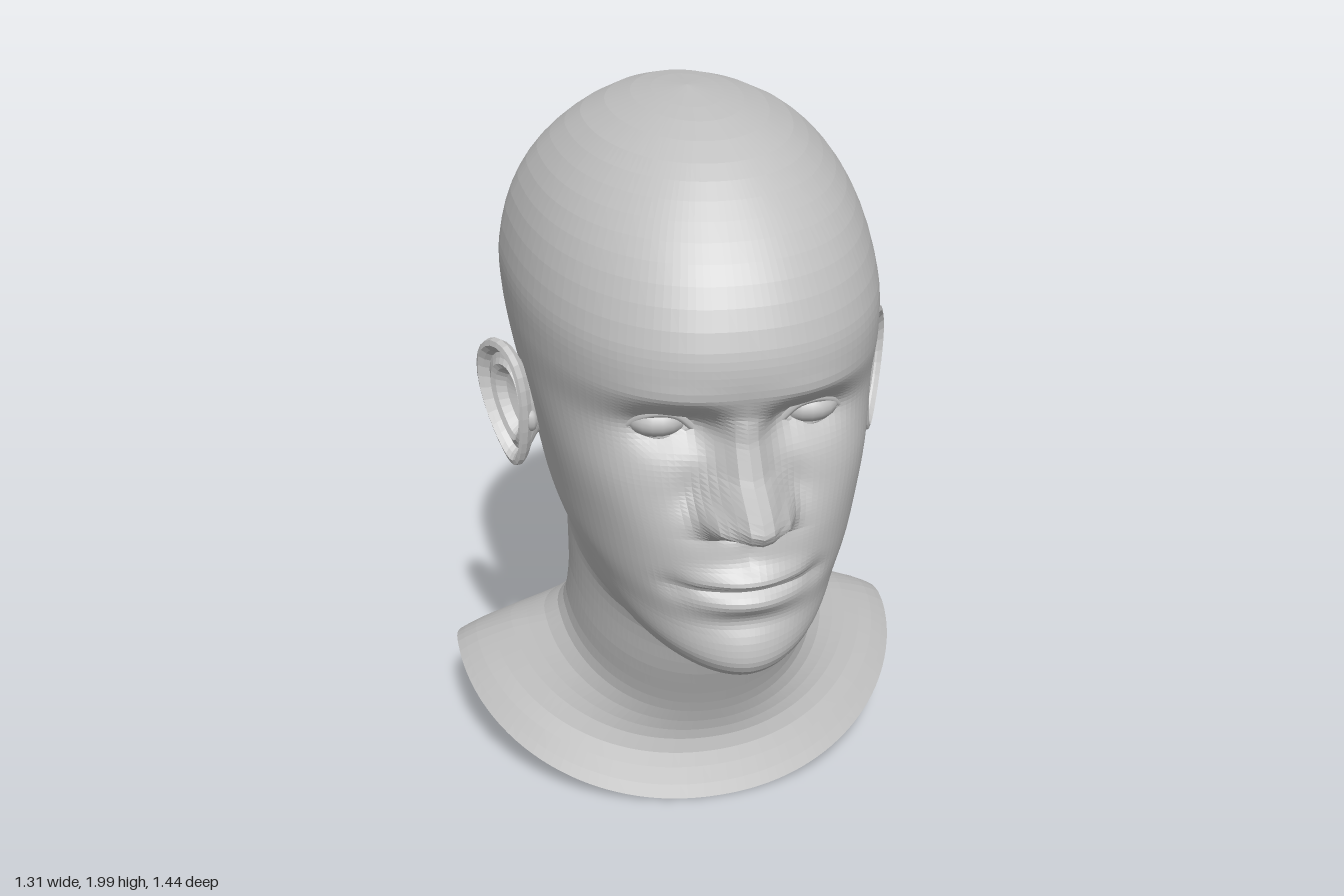
import * as THREE from 'three';

const skin = new THREE.MeshStandardMaterial({ color: 0xc0c0c0, side: THREE.DoubleSide });
skin.name = 'plain grey';

// Horizontal sections of the skull and face:
// [y, front z, back z, half width, z of widest point, front squareness]
const skull = [
  [2.0, -0.14, -0.14, 0, -0.14, 2],
  [1.975, 0.09, -0.36, 0.14, -0.15, 2],
  [1.92, 0.245, -0.49, 0.265, -0.18, 2.1],
  [1.82, 0.37, -0.605, 0.375, -0.22, 2.2],
  [1.70, 0.478, -0.675, 0.445, -0.25, 2.25],
  [1.56, 0.544, -0.718, 0.48, -0.26, 2.35],
  [1.44, 0.55, -0.715, 0.48, -0.25, 2.4],
  [1.32, 0.505, -0.685, 0.465, -0.21, 2.45],
  [1.18, 0.52, -0.635, 0.437, -0.16, 2.55],
  [1.05, 0.565, -0.56, 0.413, -0.13, 2.4],
];
// Tilted sections of jaw, neck and shoulders: [front y, front z, back y, back z,
// side y, half width, z of widest point, front squareness, back squareness]
const neck = [
  [0.93, 0.58, 0.98, -0.505, 0.96, 0.395, -0.11, 2.25, 2],
  [0.82, 0.592, 0.91, -0.47, 0.90, 0.375, -0.1, 2.05, 2],
  [0.72, 0.605, 0.85, -0.457, 0.86, 0.357, -0.1, 1.9, 2],
  [0.66, 0.54, 0.81, -0.45, 0.83, 0.35, -0.11, 1.85, 2],
  [0.63, 0.41, 0.77, -0.45, 0.80, 0.345, -0.12, 1.9, 2],
  [0.61, 0.29, 0.72, -0.45, 0.75, 0.343, -0.13, 2, 2],
  [0.45, 0.22, 0.58, -0.46, 0.58, 0.343, -0.15, 2.1, 2.1],
  [0.28, 0.15, 0.42, -0.50, 0.45, 0.37, -0.2, 2.1, 2.2],
  [0.17, 0.125, 0.28, -0.56, 0.37, 0.50, -0.29, 2.1, 2.4],
  [0.09, 0.15, 0.18, -0.61, 0.31, 0.60, -0.34, 2.1, 2.6],
  [0.01, 0.19, 0.11, -0.64, 0.27, 0.655, -0.36, 2.1, 2.8],
];
const keys = skull.map(([y, f, b, w, c, n]) => [y, f, y, b, y, w, c, n, 2]).concat(neck);
// Rows between one section and the next, finest over the face
const steps = [3, 2, 3, 3, 3, 6, 11, 11, 14, 12, 10, 6, 4, 4, 3, 4, 4, 3, 2, 2];

// Flat-faceted skin over a grid of points whose columns close into a loop
function gridMesh(name, rows, cols, point, flip) {
  const pos = [];
  const P = [];
  for (let i = 0; i < rows; i++) {
    P.push([]);
    for (let j = 0; j < cols; j++) P[i].push(point(i, j));
  }
  const tri = (a, b, c) => {
    const area = b.clone().sub(a).cross(c.clone().sub(a)).length();
    if (area < 1e-9) return;
    for (const p of flip ? [a, c, b] : [a, b, c]) pos.push(p.x, p.y, p.z);
  };
  for (let i = 0; i < rows - 1; i++) {
    for (let j = 0; j < cols; j++) {
      const k = (j + 1) % cols;
      tri(P[i][j], P[i + 1][j], P[i + 1][k]);
      tri(P[i][j], P[i + 1][k], P[i][k]);
    }
  }
  const g = new THREE.BufferGeometry();
  g.setAttribute('position', new THREE.Float32BufferAttribute(pos, 3));
  g.computeVertexNormals();
  const m = new THREE.Mesh(g, skin);
  m.name = name;
  return m;
}

const catmull = (a, b, c, d, t) =>
  b + 0.5 * t * (c - a + t * (2 * a - 5 * b + 4 * c - d + t * (3 * (b - c) + d - a)));

function section(k, t) {
  const at = (n) => keys[Math.min(Math.max(n, 0), keys.length - 1)];
  return keys[0].map((_, q) => catmull(at(k - 1)[q], at(k)[q], at(k + 1)[q], at(k + 2)[q], t));
}

// Nose: [y, ridge z, half width]
const nose = [
  [1.44, 0.55, 0.04], [1.38, 0.535, 0.04], [1.315, 0.552, 0.045], [1.235, 0.605, 0.06], [1.185, 0.695, 0.072],
  [1.155, 0.722, 0.082], [1.125, 0.705, 0.09], [1.1, 0.65, 0.095], [1.07, 0.565, 0.095],
];
const bump = (x, y, cx, cy, sx, sy) => Math.exp(-(((x - cx) / sx) ** 2) - ((y - cy) / sy) ** 2);

// How far the face stands out from its plain section at |x|, y
function relief(x, y, front) {
  let d = 0;
  for (let i = 0; i < nose.length - 1; i++) {
    const [y0, z0, w0] = nose[i];
    const [y1, z1, w1] = nose[i + 1];
    if (y > y0 || y <= y1) continue;
    const t = (y0 - y) / (y0 - y1);
    d += (z0 + (z1 - z0) * t - front) * Math.exp(-((x / (w0 + (w1 - w0) * t)) ** 2.2));
  }
  d += 0.035 * bump(x, y, 0.088, 1.128, 0.028, 0.034); // nostril wings
  d -= 0.015 * bump(x, y, 0.042, 1.09, 0.025, 0.018);  // nostrils
  d -= 0.015 * bump(x, y, 0.13, 1.16, 0.04, 0.07);     // hollow beside the nose
  d += 0.008 * bump(x, y, 0.18, 1.44, 0.12, 0.03);     // brows
  d -= 0.056 * bump(x, y, 0.19, 1.335, 0.09, 0.06);    // eye sockets
  d -= 0.038 * bump(x, y, 0.11, 1.34, 0.045, 0.05);
  d += 0.018 * bump(x, y, 0.31, 1.17, 0.1, 0.1);       // cheekbones
  const lip = Math.exp(-((x / 0.13) ** 2));
  d += lip * 0.036 * bump(0, y, 0, 0.96, 1, 0.032);
  d += lip * 0.024 * bump(0, y, 0, 0.897, 1, 0.028);
  d -= 0.02 * Math.exp(-((x / 0.15) ** 4)) * bump(0, y, 0, 0.934, 1, 0.013);
  d -= 0.014 * bump(x, y, 0, 0.835, 0.12, 0.03);       // crease above the chin
  d -= 0.006 * bump(x, y, 0, 1.03, 0.02, 0.035);       // groove above the lip
  d -= 0.012 * bump(x, y, 0.18, 0.935, 0.035, 0.04);   // mouth corners
  return d;
}

function headAndNeck() {
  const rows = [];
  steps.forEach((n, k) => { for (let i = 0; i < n; i++) rows.push(section(k, i / n)); });
  rows.push(keys[keys.length - 1]);
  const half = 54;
  return gridMesh('headAndNeck', rows.length, half * 2, (i, j) => {
    const [yf, zf, yb, zb, ys, w, zc, nf, nb] = rows[i];
    const side = j <= half ? 1 : -1;
    const s = (j <= half ? j : 2 * half - j) / half;
    const t = Math.PI * (0.55 * s + 0.45 * s * s);
    const front = Math.cos(t) > 0;
    const e = 2 / (front ? nf : nb);
    const x = w * Math.max(Math.sin(t), 0) ** e;
    const c = Math.abs(Math.cos(t)) ** e;
    const y = ys + (front ? (yf - ys) * c ** 1.3 : (yb - ys) * c ** 2.4);
    let z = zc + ((front ? zf : zb) - zc) * c;
    if (front) z += relief(x, y, zf);
    return new THREE.Vector3(side * x, y, z);
  });
}

// Ear: egg-shaped rings from the hidden root over the rim into the hollow, [scale, depth, backward shift]
const earRings = [
  [0.45, -0.1, -0.045], [0.55, -0.04, -0.04], [0.75, -0.02, -0.02], [0.94, -0.012, 0], [1, 0.004, 0], [0.98, 0.02, 0],
  [0.9, 0.024, 0], [0.82, 0.012, 0], [0.76, -0.004, 0], [0.68, 0, 0], [0.6, 0.01, -0.004], [0.52, 0.004, -0.01],
  [0.42, -0.02, -0.015], [0.2, -0.03, -0.02], [0, -0.03, -0.02],
];
function ear(side) {
  const n = 28, flare = 0.5, tilt = 0.24;
  return gridMesh(side > 0 ? 'leftEar' : 'rightEar', earRings.length, n, (i, j) => {
    const a = (j / n) * Math.PI * 2;
    const [k, depth, shift] = earRings[i];
    const u0 = 0.094 * Math.cos(a) * (1 + 0.34 * Math.sin(a)) * k + shift;
    const v0 = 0.178 * Math.sin(a) * k;
    const u = u0 * Math.cos(tilt) + v0 * Math.sin(tilt);
    const v = v0 * Math.cos(tilt) - u0 * Math.sin(tilt);
    const x = 0.497 + u * Math.sin(flare) + depth * Math.cos(flare);
    return new THREE.Vector3(side * x, 1.18 + v, -0.1 - u * Math.cos(flare) + depth * Math.sin(flare));
  }, side > 0);
}

function eye(side) {
  const g = new THREE.Group();
  g.name = side > 0 ? 'leftEye' : 'rightEye';
  const ball = new THREE.Mesh(new THREE.SphereGeometry(0.085, 20, 14), skin);
  ball.name = 'eyeball';
  ball.scale.y = 0.6;
  ball.position.set(side * 0.187, 1.335, 0.365);
  g.add(ball);
  const lid = (name, midY, midZ, r) => {
    const pts = [[0.112, 1.322, 0.43], [0.15, (midY * 3 + 1.325) / 4, midZ], [0.19, midY, midZ],
      [0.23, (midY * 3 + 1.33) / 4, midZ - 0.016], [0.265, 1.328, 0.392]];
    const path = new THREE.CatmullRomCurve3(pts.map(([x, y, z]) => new THREE.Vector3(side * x, y, z)));
    const m = new THREE.Mesh(new THREE.TubeGeometry(path, 16, r, 6), skin);
    m.name = name;
    g.add(m);
  };
  lid('upperLid', 1.37, 0.437, 0.01);
  lid('lowerLid', 1.302, 0.426, 0.008);
  return g;
}

export function createModel() {
  const model = new THREE.Group();
  model.name = 'bust';
  model.add(headAndNeck());
  for (const side of [1, -1]) {
    model.add(ear(side), eye(side));
    // Small flap in front of the ear hollow
    const flap = new THREE.Mesh(new THREE.SphereGeometry(0.026, 10, 8), skin);
    flap.name = 'earFlap';
    flap.scale.set(0.7, 1.2, 0.8);
    flap.position.set(side * 0.447, 1.15, -0.035);
    model.add(flap);
  }
  return model;
}
